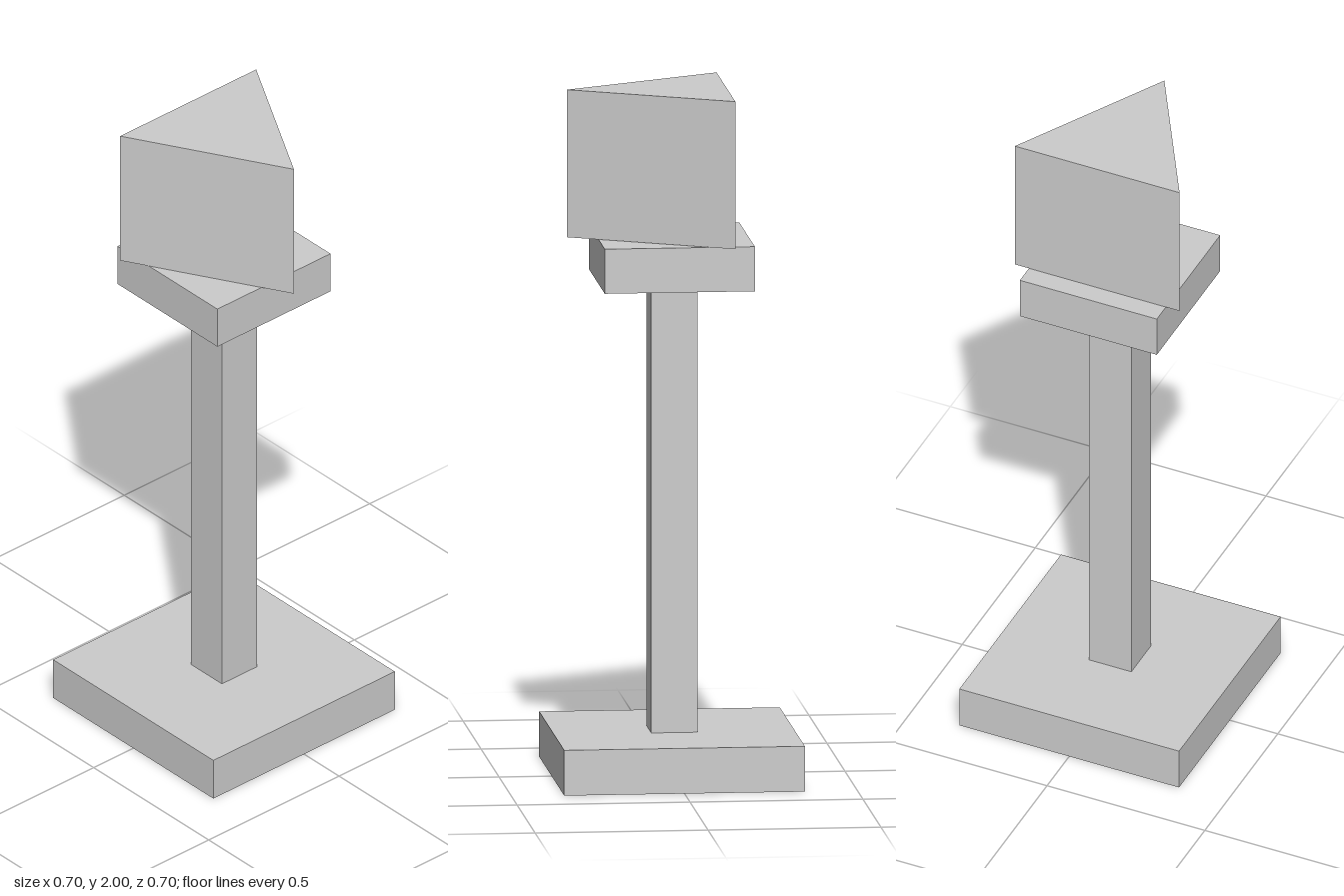
import * as THREE from 'three';

export function createModel() {
  const group = new THREE.Group();
  const material = new THREE.MeshStandardMaterial({ color: 0xcccccc, flatShading: true });

  const add = (name, geometry) => {
    const mesh = new THREE.Mesh(geometry, material);
    mesh.name = name;
    group.add(mesh);
    return mesh;
  };

  // Square block centred on the axis, spanning two heights
  const block = (name, width, bottom, top) => {
    add(name, new THREE.BoxGeometry(width, top - bottom, width)).position.y = (bottom + top) / 2;
  };

  block('base', 0.696, 0, 0.132);
  block('post', 0.134, 0.132, 1.439);
  block('topPlate', 0.434, 1.439, 1.569);

  // Triangular prism head, pointing to +x
  const triangle = new THREE.Shape([
    new THREE.Vector2(0.304, 0),
    new THREE.Vector2(-0.156, 0.261),
    new THREE.Vector2(-0.156, -0.261),
  ]);
  const bottom = 1.57;
  const prism = new THREE.ExtrudeGeometry(triangle, { depth: 2 - bottom, bevelEnabled: false });
  prism.rotateX(-Math.PI / 2);
  add('prismHead', prism).position.y = bottom;

  return group;
}
